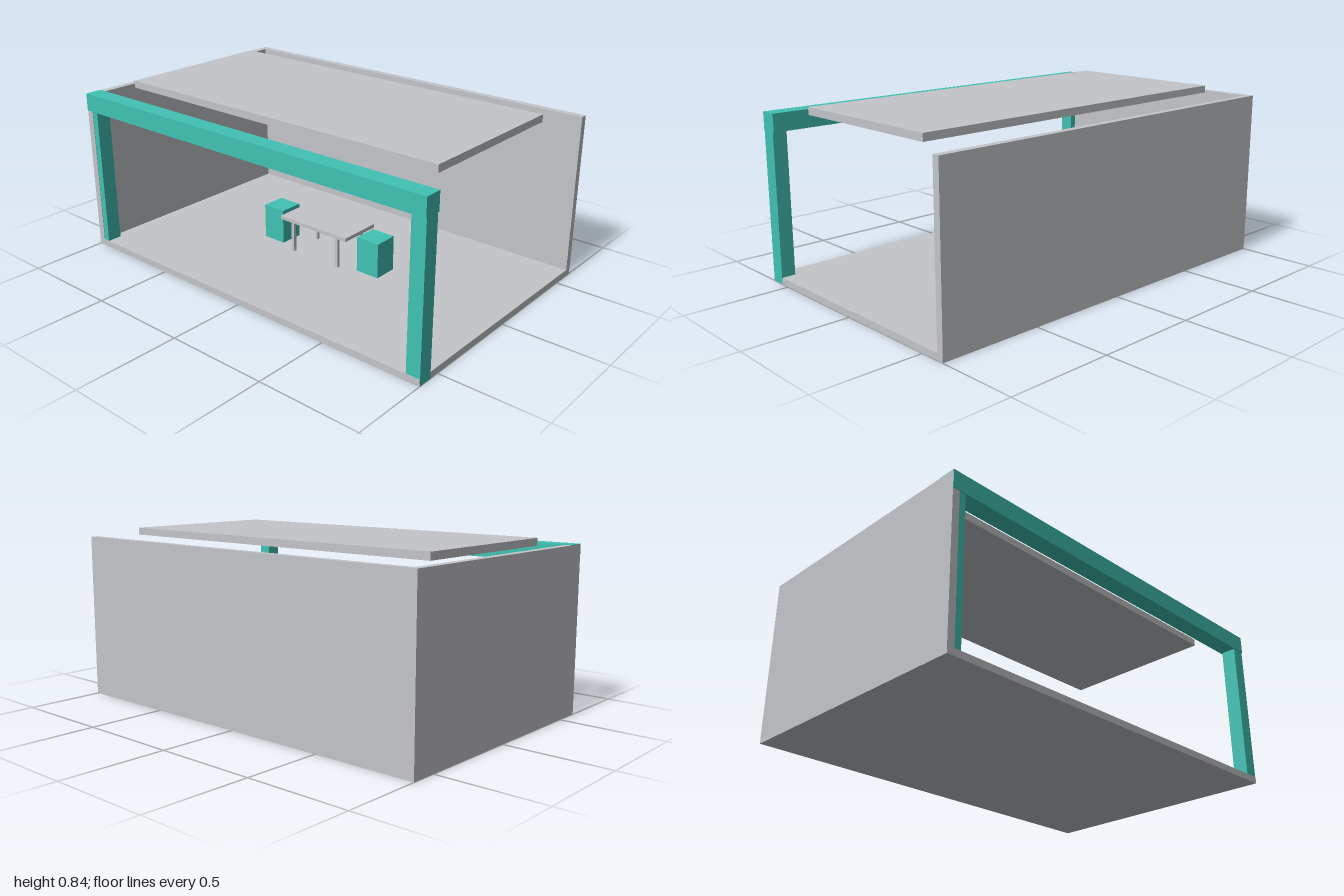
import * as THREE from 'three';

export function createModel() {
  const model = new THREE.Group();
  model.name = 'openPavilion';

  const grey = new THREE.MeshStandardMaterial({ color: 0xc4c5c9 });
  grey.name = 'light grey';
  const teal = new THREE.MeshStandardMaterial({ color: 0x41c2b4 });
  teal.name = 'teal';

  // Box given by its minimum and maximum on each axis
  function box(name, material, [x0, x1], [y0, y1], [z0, z1], parent = model) {
    const mesh = new THREE.Mesh(new THREE.BoxGeometry(x1 - x0, y1 - y0, z1 - z0), material);
    mesh.position.set((x0 + x1) / 2, (y0 + y1) / 2, (z0 + z1) / 2);
    mesh.name = name;
    parent.add(mesh);
  }

  // Shell: floor, back wall and one side wall; the other side stays open
  const floorTop = 0.032;
  box('floor', grey, [-1, 1], [0, floorTop], [-0.624, 0.624]);
  box('backWall', grey, [-1, 1], [floorTop, 0.8], [-0.625, -0.591]);
  box('sideWall', grey, [-1, -0.965], [floorTop, 0.8], [-0.591, 0.624]);

  // Raised roof panel
  box('roofPanel', grey, [-0.9, 0.9], [0.802, 0.837], [-0.407, 0.407]);

  // Front portal: header beam and two posts
  box('headerBeam', teal, [-0.9995, 1], [0.716, 0.802], [0.542, 0.626]);
  box('rightPost', teal, [-0.966, -0.932], [floorTop, 0.716], [0.55, 0.622]);
  box('leftPost', teal, [0.932, 1.0005], [0.001, 0.716], [0.55, 0.622]);

  // Table with four legs
  const table = new THREE.Group();
  table.name = 'table';
  model.add(table);
  box('tableTop', grey, [-0.207, 0.207], [0.19, 0.208], [-0.11, 0.11], table);
  for (const x of [-0.14, 0.14]) {
    for (const z of [-0.089, 0.089]) {
      box('tableLeg', grey, [x - 0.008, x + 0.008], [floorTop, 0.19], [z - 0.008, z + 0.008], table);
    }
  }

  // Block stools at both ends of the table
  for (const x of [-0.3, 0.3]) {
    box('stool', teal, [x - 0.062, x + 0.062], [floorTop, 0.207], [-0.061, 0.061]);
  }

  return model;
}
